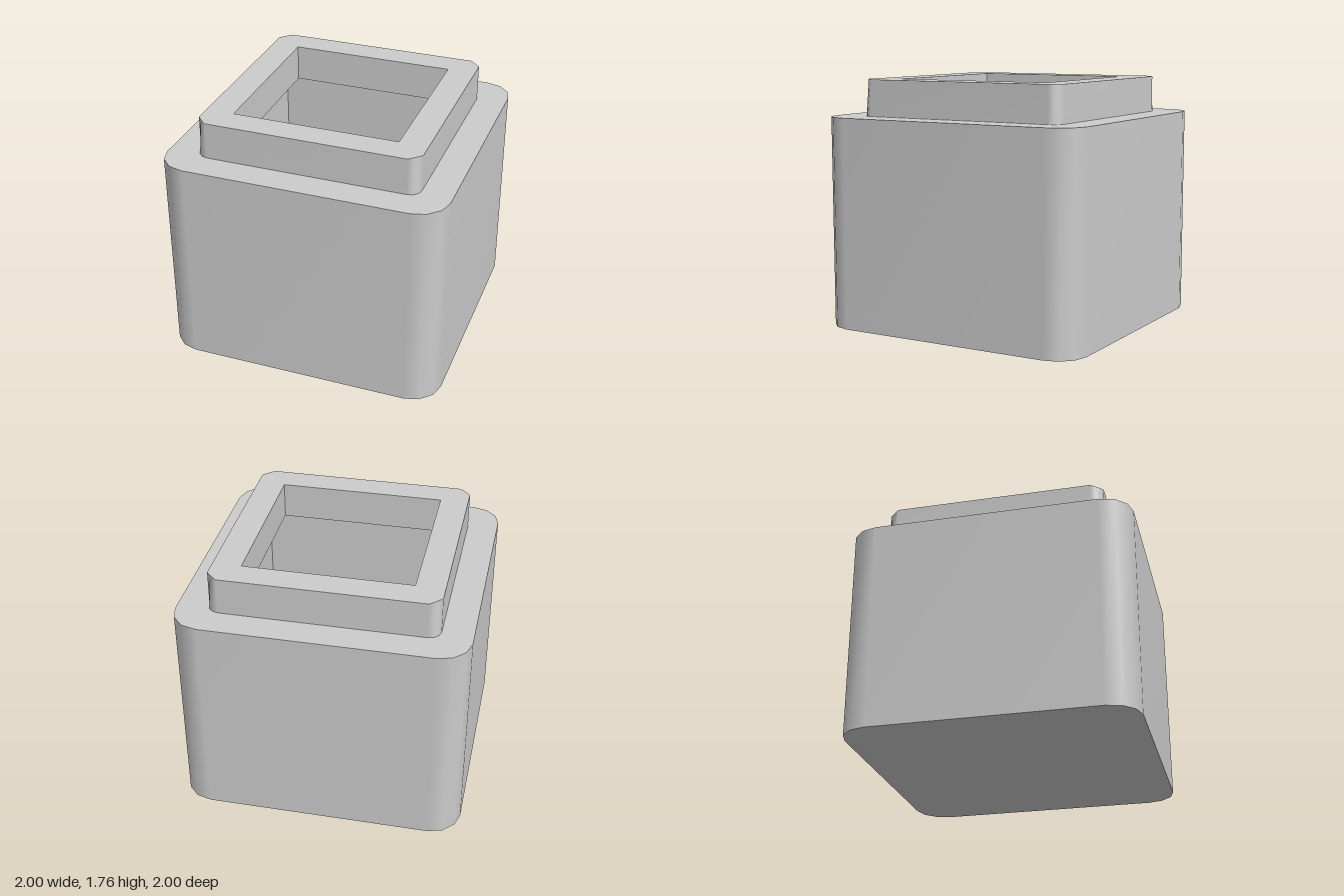
import * as THREE from 'three';

const material = new THREE.MeshStandardMaterial({ color: 0xcccccc });

// Square outline with rounded corners, counter-clockwise in x/y.
// bulge 1 follows the arc, bulge 0 the straight chamfer between its ends.
function outline(half, radius, segments = 3, bulge = 1) {
  const points = [];
  for (let corner = 0; corner < 4; corner++) {
    const start = corner * Math.PI / 2;
    const centre = new THREE.Vector2(half - radius, half - radius).rotateAround(new THREE.Vector2(), start);
    const arc = (t) => new THREE.Vector2(Math.cos(start + t * Math.PI / 2), Math.sin(start + t * Math.PI / 2))
      .multiplyScalar(radius).add(centre);
    for (let i = 0; i <= segments; i++) {
      const t = i / segments;
      points.push(arc(0).lerp(arc(1), t).lerp(arc(t), bulge));
    }
  }
  return points;
}

const square = (half) => [[1, 1], [-1, 1], [-1, -1], [1, -1]].map(([x, y]) => new THREE.Vector2(x * half, y * half));

// Outward smooth wall between two outlines with the same number of points
function wall(lower, y0, upper, y1) {
  const n = lower.length, positions = [], index = [];
  lower.forEach((p) => positions.push(p.x, y0, -p.y));
  upper.forEach((p) => positions.push(p.x, y1, -p.y));
  for (let i = 0; i < n; i++) {
    const j = (i + 1) % n;
    index.push(i, j, n + j, i, n + j, n + i);
  }
  const geometry = new THREE.BufferGeometry();
  geometry.setAttribute('position', new THREE.Float32BufferAttribute(positions, 3));
  geometry.setIndex(index);
  geometry.computeVertexNormals();
  return geometry;
}

// Flat horizontal face, optionally with a hole, facing up or down
function face(points, y, hole, down = false) {
  const shape = new THREE.Shape(points);
  if (hole) shape.holes.push(new THREE.Path(hole));
  return new THREE.ShapeGeometry(shape).rotateX(down ? Math.PI / 2 : -Math.PI / 2).translate(0, y, 0);
}

// Sharp-cornered inner wall facing the middle
function innerWall(half, y0, y1) {
  const geometry = wall(square(half), y0, square(half), y1);
  geometry.setIndex(Array.from(geometry.index.array).reverse());
  const flat = geometry.toNonIndexed();
  flat.computeVertexNormals();
  return flat;
}

export function createModel() {
  const model = new THREE.Group();
  const addPart = (name, geometries) => {
    const part = new THREE.Group();
    part.name = name;
    for (const geometry of geometries) part.add(new THREE.Mesh(geometry, material));
    model.add(part);
  };

  const shoulderY = 1.5, rimY = 1.76, floorY = 0.2;
  const cavity = 0.745, opening = 0.585;
  const body = outline(1, 0.21);
  const neckBase = outline(0.785, 0.08);
  const neckTop = outline(0.785, 0.08, 3, 0.1);

  // Body with rounded upright corners
  addPart('body', [
    wall(body, 0, body, shoulderY),
    face(body, 0, null, true),
    face(body, shoulderY, square(cavity)),
  ]);

  // Hollow inside the body, wider than the neck opening
  addPart('cavity', [
    innerWall(cavity, floorY, shoulderY),
    face(square(cavity), floorY),
  ]);

  // Neck whose corners flatten towards the rim
  addPart('neck', [
    wall(neckBase, shoulderY, neckTop, rimY),
    face(neckTop, rimY, square(opening)),
    innerWall(opening, shoulderY, rimY),
    face(square(cavity), shoulderY, square(opening), true),
  ]);

  return model;
}
